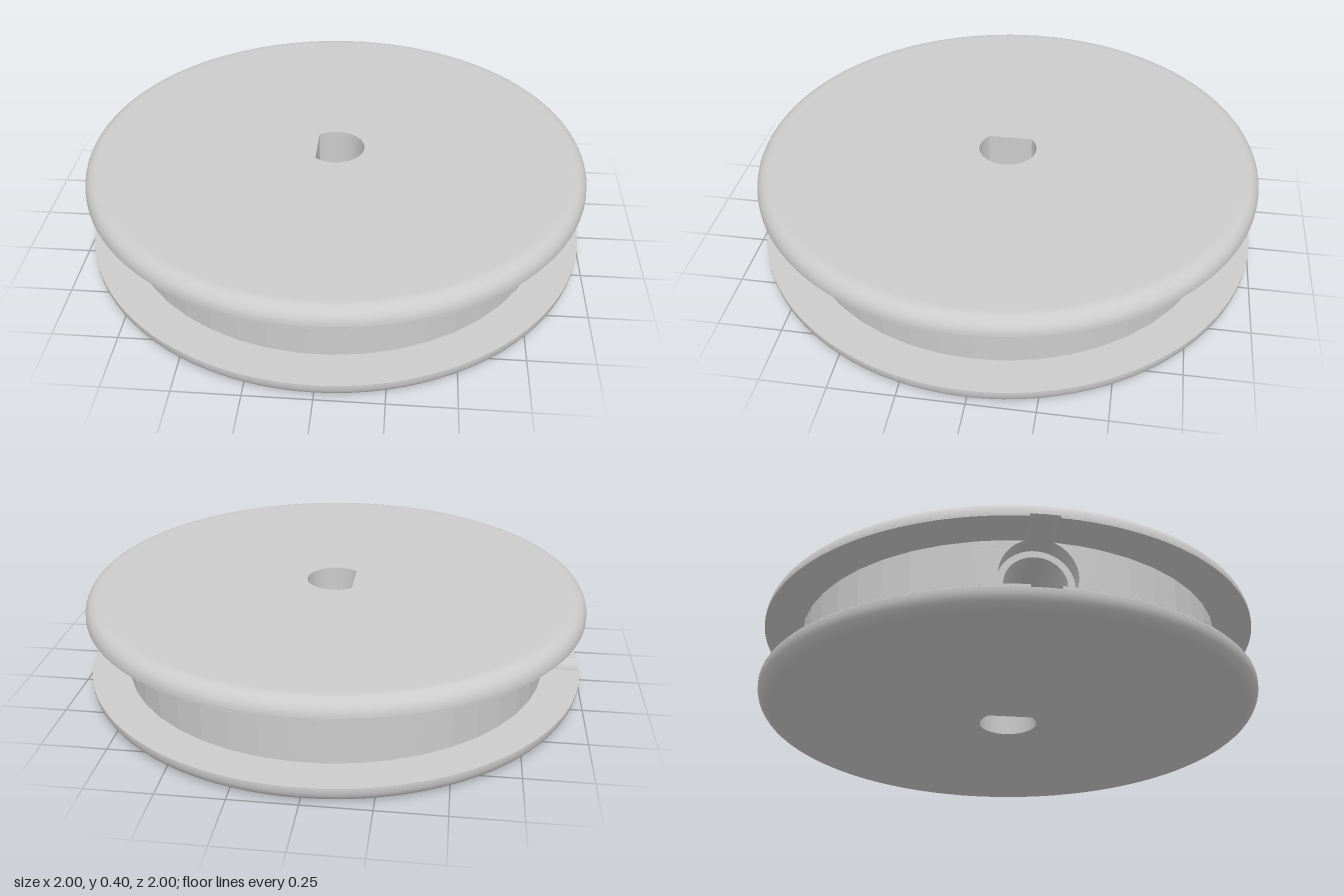
import * as THREE from 'three';
import { ParametricGeometry } from 'three/addons/geometries/ParametricGeometry.js';

const H = 0.4, MID = H / 2;       // total height, mid height
const FLANGE = 0.07;              // flange thickness
const HUB = 0.85;                 // hub radius
const CORE = 0.5;                 // inner core radius
const FILLET = 0.06;              // rounding of the flange rim
const BORE = 0.14, PILOT = 0.115; // recess and inner bore radii
const STEP_X = -0.77;             // floor of the wide recess
const GAP = MID - FLANGE;         // half the gap between flanges
const SLOT = Math.sqrt(BORE * BORE - GAP * GAP); // half width of the flange groove

const smooth = new THREE.MeshStandardMaterial({ color: 0xcccccc, side: THREE.DoubleSide });
const faceted = new THREE.MeshStandardMaterial({ color: 0xcccccc, side: THREE.DoubleSide, flatShading: true });

function part(name, geometry, material = smooth) {
  const mesh = new THREE.Mesh(geometry, material);
  mesh.name = name;
  return mesh;
}

// Core with the D-shaped shaft hole, reaching through both flanges
function shaftCore() {
  const shape = new THREE.Shape().absarc(0, 0, CORE, 0, Math.PI * 2);
  const a = Math.acos(-0.075 / 0.115);
  shape.holes.push(new THREE.Path().absarc(0, 0, 0.115, -a, a).closePath());
  const g = new THREE.ExtrudeGeometry(shape, { depth: H, bevelEnabled: false, curveSegments: 48 });
  return part('shaftCore', g.rotateX(-Math.PI / 2));
}

// One flange, lying with its outer face on y = 0
function flange(name) {
  const group = new THREE.Group();
  group.name = name;

  const profile = [new THREE.Vector2(CORE, 0), new THREE.Vector2(0.93, 0)];
  for (let i = 0; i <= 8; i++) {
    const a = (i / 8) * Math.PI / 2;
    profile.push(new THREE.Vector2(1 - FILLET + FILLET * Math.sin(a), FILLET - FILLET * Math.cos(a)));
  }
  group.add(part('outerFace', new THREE.LatheGeometry(profile, 96)));

  // Short straight rim, open where the groove runs out at -x
  const d = Math.asin(SLOT);
  const rim = new THREE.CylinderGeometry(1, 1, FLANGE - FILLET, 96, 1, true, -Math.PI / 2 + d, 2 * (Math.PI - d));
  group.add(part('rim', rim.translate(0, (FLANGE + FILLET) / 2, 0)));

  // Inner face, a ring notched by the groove
  const r = HUB - 0.01, di = Math.asin(SLOT / r);
  const ring = new THREE.Shape();
  ring.absarc(0, 0, 1, -Math.PI + d, Math.PI - d, false);
  ring.absarc(0, 0, r, Math.PI - di, -Math.PI + di, true);
  const face = new THREE.ShapeGeometry(ring, 96).rotateX(-Math.PI / 2);
  group.add(part('innerFace', face.translate(0, FLANGE, 0)));
  return group;
}

// Faceted hub wall whose two ends follow the edge of the round side opening
function hubWall() {
  const cols = 46, last = THREE.MathUtils.degToRad(15);
  const wall = (u, v, target) => {
    const y = (v * 2 - 1) * GAP;
    const edge = Math.asin(Math.sqrt(BORE * BORE - y * y) / HUB);
    const i = Math.round(u * cols), k = Math.min(i, cols - i);
    const step = k < 2 ? edge + (last - edge) * k / 2
      : last + (k - 2) * (Math.PI - last) / (cols / 2 - 2);
    const a = i <= cols / 2 ? step : 2 * Math.PI - step;
    target.set(-HUB * Math.cos(a), MID + y, HUB * Math.sin(a));
  };
  return part('hubWall', new ParametricGeometry(wall, cols, 16), faceted);
}

// Part of a bore along x, from xIn out to a cylinder of radius rOut around y
function boreWall(name, radius, start, sweep, xIn, outerX) {
  const f = (u, v, target) => {
    const t = start + sweep * u;
    const z = radius * Math.cos(t);
    target.set(xIn + (outerX(z) - xIn) * v, MID + radius * Math.sin(t), z);
  };
  return part(name, new ParametricGeometry(f, 24, 1));
}

// Stepped radial opening on the -x side, with its grooves in the flanges
function sideOpening() {
  const group = new THREE.Group();
  group.name = 'sideOpening';
  const t = Math.asin(GAP / BORE);
  const toHub = z => -Math.sqrt(HUB * HUB - z * z);
  const toRim = z => -Math.sqrt(1 - z * z);
  for (const turn of [0, Math.PI]) {
    group.add(boreWall('recessWall', BORE, turn - t, 2 * t, STEP_X, toHub));
    group.add(boreWall('flangeGroove', BORE, turn + t, Math.PI - 2 * t, STEP_X, toRim));
  }
  const step = new THREE.RingGeometry(PILOT, BORE, 48).rotateY(-Math.PI / 2);
  group.add(part('recessStep', step.translate(STEP_X, MID, 0)));
  group.add(boreWall('innerBore', PILOT, 0, Math.PI * 2, -CORE + 0.02, () => STEP_X));
  return group;
}

export function createModel() {
  const model = new THREE.Group();
  model.name = 'spool';
  const top = flange('topFlange');
  top.rotation.x = Math.PI;
  top.position.y = H;
  model.add(flange('bottomFlange'), top, shaftCore(), hubWall(), sideOpening());
  return model;
}
